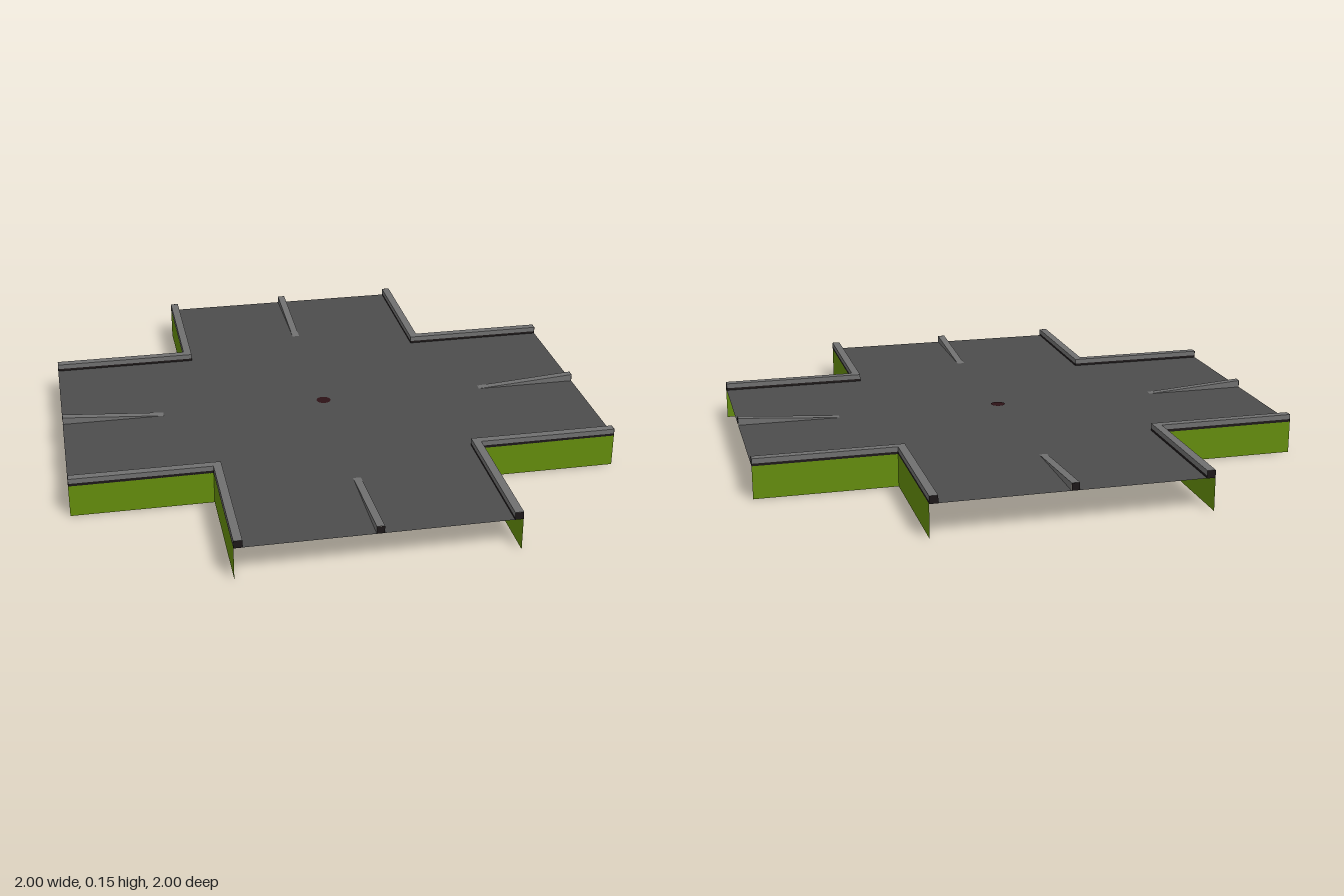
import * as THREE from 'three';

const ROAD_Y = 0.12, TOP_Y = 0.147;
const INNER = 0.46, OUTER = 0.49, END = 0.999;
const RIDGE_START = 0.62, RIDGE_HALF = 0.014;

function material(name, color, side = THREE.FrontSide) {
  const m = new THREE.MeshStandardMaterial({ color, side });
  m.name = name;
  return m;
}

function part(name, geometry, mat) {
  const mesh = new THREE.Mesh(geometry, mat);
  mesh.name = name;
  return mesh;
}

// Flat cross with a narrow slot under each tapered divider
function roadGeometry() {
  const points = [];
  for (let i = 0; i < 4; i++) {
    const arm = [
      [1, -OUTER], [1, -RIDGE_HALF], [RIDGE_START, 0],
      [RIDGE_START, 0.001], [1, RIDGE_HALF], [1, OUTER], [OUTER, OUTER],
    ];
    // keep the slot as wide as the divider along its whole length
    arm[2] = [RIDGE_START, -RIDGE_HALF];
    arm[3] = [RIDGE_START, RIDGE_HALF];
    for (const p of arm) {
      points.push(new THREE.Vector2(...p).rotateAround(new THREE.Vector2(), i * Math.PI / 2));
    }
  }
  return new THREE.ShapeGeometry(new THREE.Shape(points)).rotateX(-Math.PI / 2);
}

// L-shaped kerb course around one corner, between two heights
function kerbGeometry(y0, y1) {
  const shape = new THREE.Shape([
    [INNER, INNER], [END, INNER], [END, OUTER],
    [OUTER, OUTER], [OUTER, END], [INNER, END],
  ].map(p => new THREE.Vector2(...p)));
  return new THREE.ExtrudeGeometry(shape, { depth: y1 - y0, bevelEnabled: false })
    .rotateX(-Math.PI / 2).translate(0, y0, 0);
}

// Open ramp: sloping top and two triangular sides
function ridgeGeometry() {
  const w = RIDGE_HALF;
  const a = [RIDGE_START, ROAD_Y, w], b = [RIDGE_START, ROAD_Y, -w];
  const c = [END, TOP_Y, w], d = [END, TOP_Y, -w];
  const e = [END, ROAD_Y, w], f = [END, ROAD_Y, -w];
  const faces = [a, c, d, a, d, b, a, e, c, b, d, f];
  const g = new THREE.BufferGeometry();
  g.setAttribute('position', new THREE.Float32BufferAttribute(faces.flat(), 3));
  g.computeVertexNormals();
  return g;
}

// Dark end face looking along +x
function endGeometry(width, z) {
  return new THREE.PlaneGeometry(width, TOP_Y - ROAD_Y)
    .rotateY(Math.PI / 2).translate(1, (TOP_Y + ROAD_Y) / 2, z);
}

export function createModel() {
  const group = new THREE.Group();
  group.name = 'crossroads';

  const asphalt = material('asphalt', 0x4c4c4c, THREE.DoubleSide);
  const concrete = material('concrete', 0x707070, THREE.DoubleSide);
  const dark = material('darkEdge', 0x1c1718, THREE.DoubleSide);
  const grass = material('grass', 0x648c0c, THREE.DoubleSide);
  const cover = material('cover', 0x2c1216);

  const road = part('road', roadGeometry(), asphalt);
  road.position.y = ROAD_Y;
  group.add(road);

  // Small disc in the middle of the junction
  const disc = part('centreCover', new THREE.CircleGeometry(0.027, 24).rotateX(-Math.PI / 2), cover);
  disc.position.y = ROAD_Y + 0.002;
  group.add(disc);

  const seam = ROAD_Y + 0.009;
  const skirtLength = 1 - OUTER;
  for (let i = 0; i < 4; i++) {
    const quarter = new THREE.Group();
    quarter.name = 'quarter' + (i + 1);
    quarter.rotation.y = i * Math.PI / 2;

    // Kerb with a dark lower course
    quarter.add(part('kerbBase', kerbGeometry(ROAD_Y - 0.001, seam), dark));
    quarter.add(part('kerbTop', kerbGeometry(seam, TOP_Y), concrete));

    // Two grass banks meeting at the corner
    const mid = OUTER + skirtLength / 2;
    const bank = new THREE.PlaneGeometry(skirtLength, ROAD_Y);
    quarter.add(part('sideBank', bank.clone().rotateY(Math.PI).translate(mid, ROAD_Y / 2, -OUTER), grass));
    quarter.add(part('endBank', bank.clone().rotateY(Math.PI / 2).translate(OUTER, ROAD_Y / 2, -mid), grass));

    // Tapered divider and the dark faces at the end of the arm
    quarter.add(part('divider', ridgeGeometry(), concrete));
    quarter.add(part('dividerEnd', endGeometry(RIDGE_HALF * 2, 0), dark));
    for (const s of [-1, 1]) {
      quarter.add(part('kerbEnd', endGeometry(OUTER - INNER, s * (INNER + OUTER) / 2), dark));
    }
    group.add(quarter);
  }
  return group;
}
